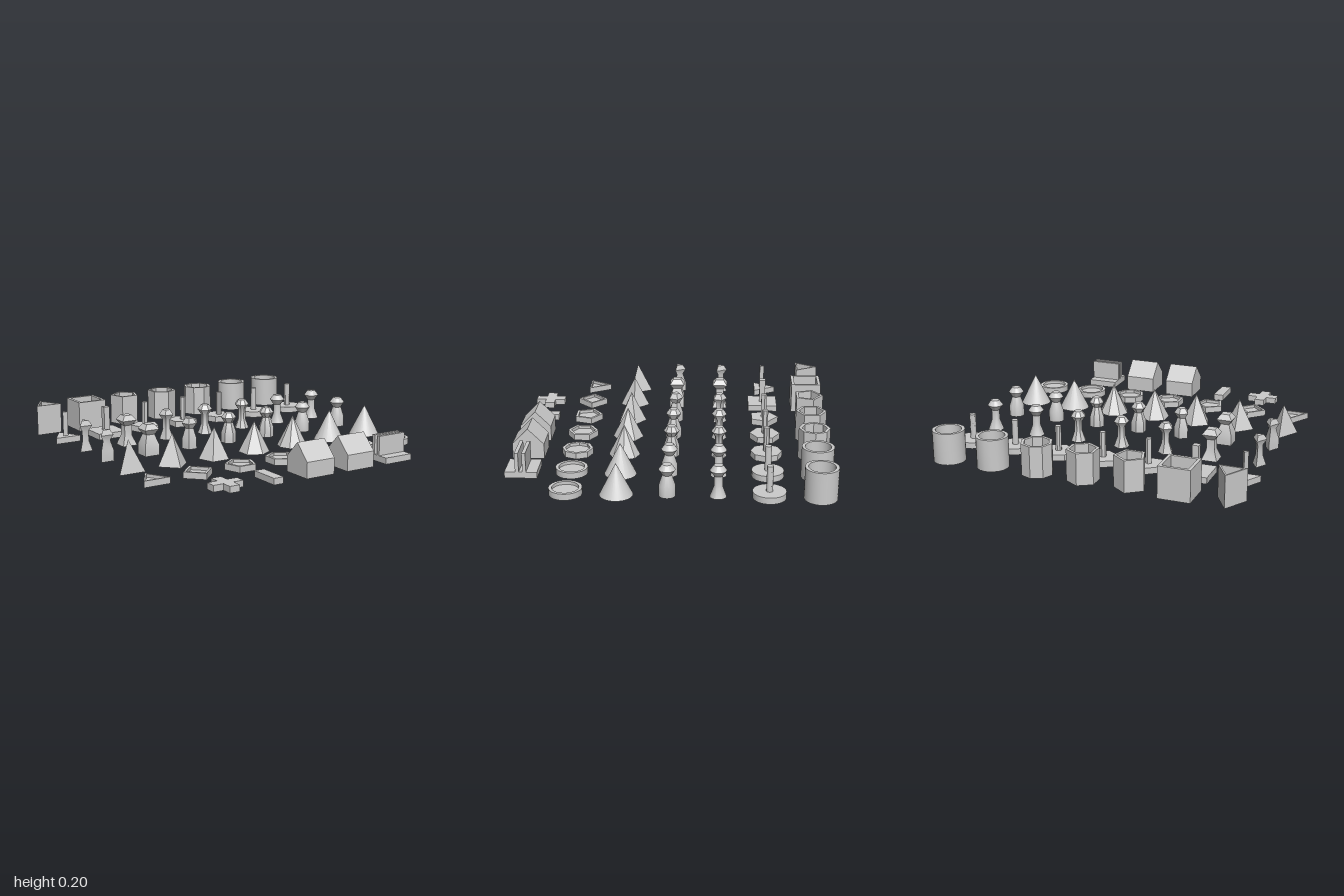
import * as THREE from 'three';
import { toCreasedNormals } from 'three/addons/utils/BufferGeometryUtils.js';

const material = new THREE.MeshStandardMaterial({ color: 0xcccccc });
const SIDES = [3, 4, 5, 6, 8, 16, 32];
const columnX = (i) => -0.9067 + 0.3 * i;

// Profiles as [radius, height], running from the bottom centre outwards and up
const cup = (height, floor) => [[0, 0], [0.1, 0], [0.1, height], [0.08, height], [0.08, floor], [0, floor]];
const head = [[0.05, 0.167], [0.027, 0.2], [0, 0.2]];
const ROWS = [
  { name: 'tallCup', z: -0.9, profile: cup(0.2, 0.02), squareOn: true },
  { name: 'discWithPole', z: -0.6, profile: [[0, 0], [0.1, 0], [0.1, 0.04], [0.02, 0.04], [0.02, 0.2], [0, 0.2]], squareOn: true },
  { name: 'waistedPawn', z: -0.3, profile: [[0, 0], [0.05, 0], [0.026, 0.067], [0.026, 0.133], ...head], squareOn: true },
  { name: 'pawn', z: 0, profile: [[0, 0], [0.05, 0], [0.05, 0.067], [0.028, 0.133], ...head], squareOn: true },
  { name: 'cone', z: 0.3, profile: [[0, 0], [0.1, 0], [0, 0.2]] },
  { name: 'shallowDish', z: 0.6, profile: cup(0.04, 0.02) },
];

// Spins a profile with a given number of sides; a corner points to the back
function prism(profile, sides, squareOn) {
  const aligned = squareOn && sides === 4;
  const k = aligned ? Math.SQRT2 : 1;
  const points = profile.map(([r, y]) => new THREE.Vector2(r * k, y));
  const start = aligned ? Math.PI / 4 : Math.PI;
  return toCreasedNormals(new THREE.LatheGeometry(points, sides, start), 0.6);
}

// Extrudes an outline given as [x, y] corners, centred on its depth
function extrude(corners, depth) {
  const shape = new THREE.Shape(corners.map(([x, y]) => new THREE.Vector2(x, y)));
  return new THREE.ExtrudeGeometry(shape, { depth, bevelEnabled: false }).translate(0, 0, -depth / 2);
}

export function createModel() {
  const model = new THREE.Group();
  const add = (name, geometry, x, y, z) => {
    const mesh = new THREE.Mesh(geometry, material);
    mesh.name = name;
    mesh.position.set(x, y, z);
    model.add(mesh);
  };

  // Grid of pieces: one kind per row, more sides in each column
  for (const { name, z, profile, squareOn } of ROWS) {
    SIDES.forEach((sides, i) => add(`${name}${sides}Sides`, prism(profile, sides, squareOn), columnX(i), 0, z));
  }

  // Flat cross
  const a = 0.0333, b = 0.1;
  const cross = [[a, -b], [a, -a], [b, -a], [b, a], [a, a], [a, b], [-a, b], [-a, a], [-b, a], [-b, -a], [-a, -a], [-a, -b]];
  add('cross', extrude(cross, 0.04).rotateX(-Math.PI / 2), columnX(1), 0.02, 0.9);

  // Flat bar
  add('bar', new THREE.BoxGeometry(0.0667, 0.04, 0.2), columnX(2), 0.02, 0.9);

  // Two houses with the ridge running sideways
  const gable = [[-0.1, 0], [0.1, 0], [0.1, 0.1], [0, 0.2], [-0.1, 0.1]];
  for (const i of [3, 4]) add('house', extrude(gable, 0.2).rotateY(Math.PI / 2), columnX(i), 0, 0.9);

  // Card holder: a base with two upright slats and a slot between them
  const t = 0.0333, s = 0.0111;
  const holder = [[-0.1, 0], [0.1, 0], [0.1, 0.04], [t, 0.04], [t, 0.163], [s, 0.163], [s, 0.04],
    [-s, 0.04], [-s, 0.163], [-t, 0.163], [-t, 0.04], [-0.1, 0.04]];
  add('cardHolder', extrude(holder, 0.2).rotateY(Math.PI / 2), columnX(5), 0, 0.9);

  return model;
}
